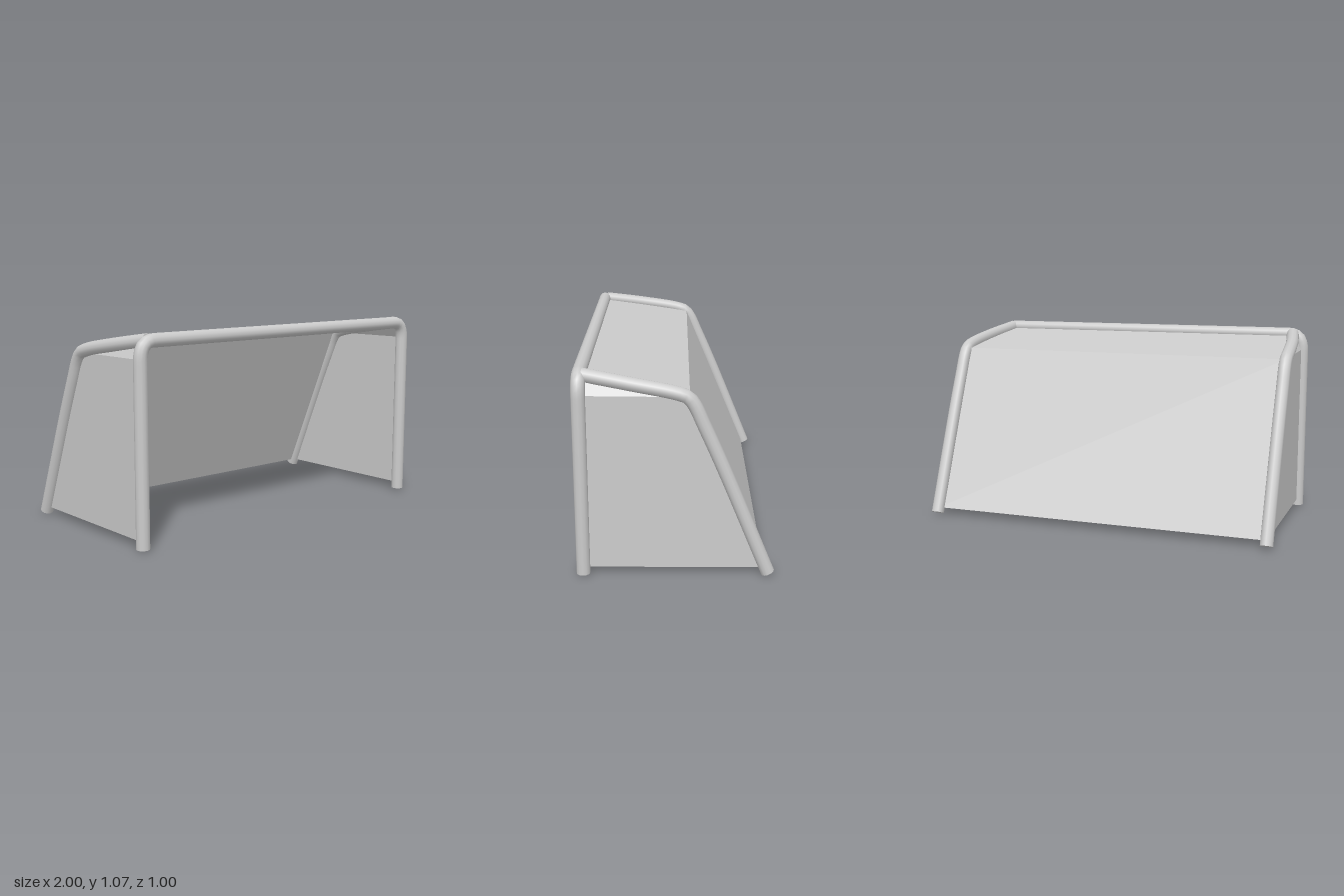
import * as THREE from 'three';

const R = 0.035;
const V = (x, y, z) => new THREE.Vector3(x, y, z);
const pipeMat = new THREE.MeshStandardMaterial({ color: 0xcccccc });
const netMat = new THREE.MeshStandardMaterial({ color: 0xcccccc, side: THREE.DoubleSide, flatShading: true });

// Round pipe along a curve, closed by a disc at both ends
function pipe(name, curve, segments) {
  const group = new THREE.Group();
  group.name = name;
  const tube = new THREE.Mesh(new THREE.TubeGeometry(curve, segments, R, 12), pipeMat);
  tube.name = name + 'Tube';
  group.add(tube);
  for (const t of [0, 1]) {
    const cap = new THREE.Mesh(new THREE.CircleGeometry(R, 12), pipeMat);
    cap.name = name + 'Cap';
    cap.position.copy(curve.getPointAt(t));
    const dir = curve.getTangentAt(t).multiplyScalar(t ? 1 : -1);
    cap.quaternion.setFromUnitVectors(V(0, 0, 1), dir);
    group.add(cap);
  }
  return group;
}

// Flat net panel as a fan around its first corner
function panel(name, corners) {
  const index = [];
  for (let i = 1; i < corners.length - 1; i++) index.push(0, i, i + 1);
  const geometry = new THREE.BufferGeometry().setFromPoints(corners);
  geometry.setIndex(index);
  geometry.computeVertexNormals();
  const mesh = new THREE.Mesh(geometry, netMat);
  mesh.name = name;
  return mesh;
}

export function createModel() {
  const goal = new THREE.Group();
  goal.name = 'goal';
  const px = 0.965, fz = 0.465, top = 1.04;

  // Front posts and crossbar in one bent pipe
  const frame = new THREE.CurvePath();
  frame.add(new THREE.LineCurve3(V(-px, 0.015, fz), V(-px, 0.94, fz)));
  frame.add(new THREE.QuadraticBezierCurve3(V(-px, 0.94, fz), V(-px, top, fz), V(-0.89, top, fz)));
  frame.add(new THREE.LineCurve3(V(-0.89, top, fz), V(0.89, top, fz)));
  frame.add(new THREE.QuadraticBezierCurve3(V(0.89, top, fz), V(px, top, fz), V(px, 0.94, fz)));
  frame.add(new THREE.LineCurve3(V(px, 0.94, fz), V(px, 0.015, fz)));
  goal.add(pipe('frontFrame', frame, 160));

  for (const s of [-1, 1]) {
    const side = s > 0 ? 'left' : 'right';
    // Bent rear support from the crossbar to the ground
    const path = [
      [0.91, 1.04, 0.45], [0.946, 1.005, 0.22], [0.965, 0.966, 0],
      [0.966, 0.945, -0.06], [0.966, 0.905, -0.092], [0.966, 0.8, -0.14],
      [0.966, 0.59, -0.232], [0.966, 0.02, -0.465],
    ].map(([x, y, z]) => V(s * x, y, z));
    goal.add(pipe(side + 'RearSupport', new THREE.CatmullRomCurve3(path), 48));

    // Side net, leaning in to meet the support at the top front
    goal.add(panel(side + 'SideNet', [
      V(s * px, 0.945, -0.07), V(s * 0.92, 1.03, fz), V(s * px, 0.95, fz),
      V(s * px, 0.048, fz), V(s * px, 0.045, -0.445),
    ]));
  }

  // Roof net and sloping back net
  goal.add(panel('roofNet', [
    V(-0.92, 1.035, fz), V(0.92, 1.035, fz), V(px, 0.945, -0.07), V(-px, 0.945, -0.07),
  ]));
  goal.add(panel('backNet', [
    V(-px, 0.945, -0.07), V(px, 0.945, -0.07), V(px, 0.045, -0.445), V(-px, 0.045, -0.445),
  ]));
  return goal;
}
